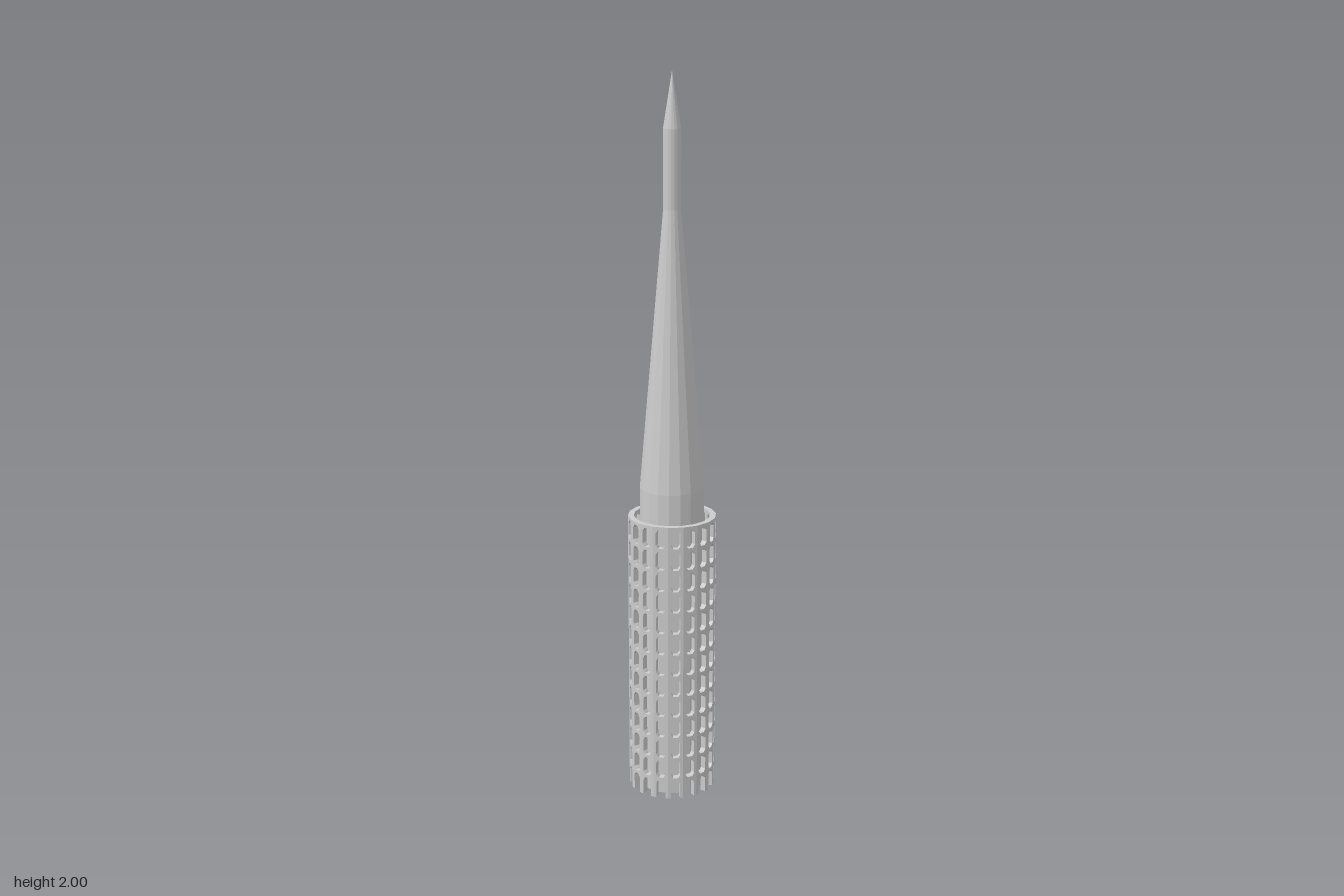
import * as THREE from 'three';

const SIDES = 18;
const STEP = (Math.PI * 2) / SIDES;
const OUTER = 0.122, INNER = 0.106; // corner radii of the cage wall
const HEIGHT = 0.8, ROWS = 13;

const material = new THREE.MeshStandardMaterial({ color: 0xcccccc, flatShading: true });

// One flat wall panel of the cage with a column of chamfered slots
function cagePanel() {
  const half = OUTER * Math.sin(STEP / 2);
  const w = half * 0.62, c = 0.009;
  const cell = HEIGHT / ROWS, bar = 0.009;

  // Outline: the lowest slot is open, leaving pegs at the corners
  const top0 = cell - bar;
  const shape = new THREE.Shape([
    [-half, 0], [-w, 0], [-w, top0 - c], [-w + c * 0.7, top0],
    [w - c * 0.7, top0], [w, top0 - c], [w, 0], [half, 0],
    [half, HEIGHT], [-half, HEIGHT],
  ].map(([x, y]) => new THREE.Vector2(x, y)));

  for (let i = 1; i < ROWS; i++) {
    const b = i * cell, t = b + cell - bar;
    shape.holes.push(new THREE.Path([
      [-w, b + c], [-w, t - c], [-w + c * 0.7, t], [w - c * 0.7, t],
      [w, t - c], [w, b + c], [w - c * 0.7, b], [-w + c * 0.7, b],
    ].map(([x, y]) => new THREE.Vector2(x, y))));
  }

  const apothem = Math.cos(STEP / 2);
  const depth = (OUTER - INNER) * apothem;
  const geo = new THREE.ExtrudeGeometry(shape, { depth, bevelEnabled: false });
  geo.translate(0, 0, INNER * apothem);

  // Mitre the panel so neighbours meet along radial planes
  const p = geo.attributes.position;
  for (let i = 0; i < p.count; i++) {
    p.setX(i, p.getX(i) * p.getZ(i) / (OUTER * apothem));
  }
  geo.computeVertexNormals();
  return geo;
}

export function createModel() {
  const model = new THREE.Group();
  model.name = 'spikeInCage';

  // Tapered spike with closed base
  const profile = [
    [0, 0], [0.089, 0], [0.089, 0.88], [0.024, 1.64], [0.024, 1.85], [0, 2],
  ].map(([r, y]) => new THREE.Vector2(r, y));
  const spike = new THREE.Mesh(new THREE.LatheGeometry(profile, SIDES), material);
  spike.name = 'spike';
  model.add(spike);

  // Slotted cage around the lower part
  const cage = new THREE.Group();
  cage.name = 'cage';
  const panel = cagePanel();
  for (let i = 0; i < SIDES; i++) {
    const mesh = new THREE.Mesh(panel, material);
    mesh.name = 'cagePanel';
    mesh.rotation.y = (i + 0.5) * STEP;
    cage.add(mesh);
  }
  model.add(cage);

  // Floor between spike and cage, open over two segments
  const floorGeo = new THREE.RingGeometry(0.087, INNER, SIDES - 2, 1, STEP * 2.5, STEP * (SIDES - 2));
  floorGeo.rotateX(-Math.PI / 2);
  const floor = new THREE.Mesh(floorGeo, material);
  floor.name = 'cageFloor';
  floor.position.y = 0.055;
  model.add(floor);

  return model;
}
